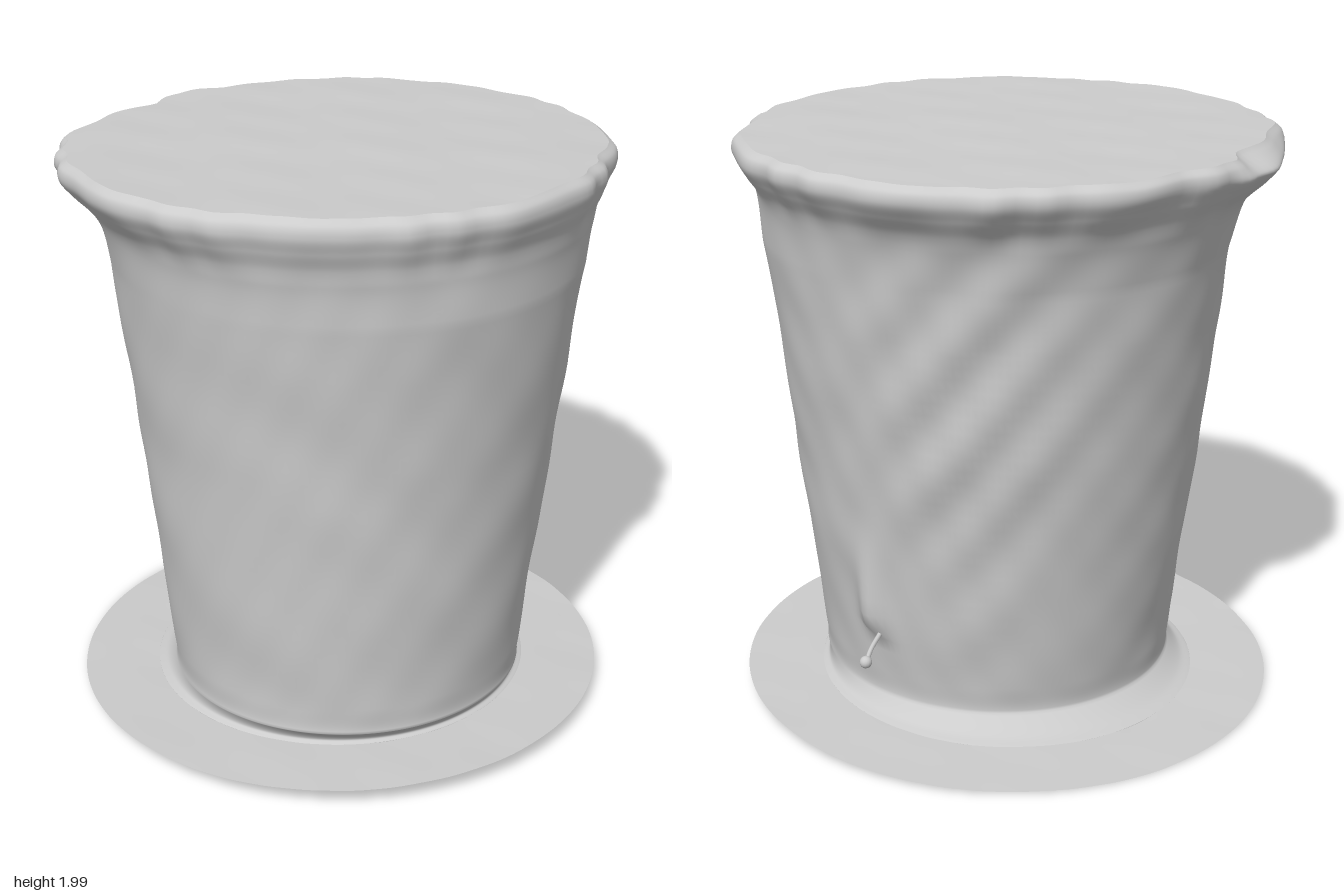
import * as THREE from 'three';
import { mergeVertices } from 'three/addons/utils/BufferGeometryUtils.js';

const TOP = 1.968;
const SEGMENTS = 180;
const { lerp, smoothstep, degToRad } = THREE.MathUtils;
const material = new THREE.MeshStandardMaterial({ color: 0xcccccc, side: THREE.DoubleSide });

// Rim radius by angle in degrees, from +x towards +z
const RIM = [[0, .9], [33, .905], [41, .868], [90, .87], [134, .862], [180, .91], [215, .925],
  [245, .92], [262, .89], [272, .865], [304, .885], [340, .9], [360, .9]];
// Height, sideways drift and forward drift of the body's axis
const DRIFT = [[0, 0, 0], [.06, -.02, .075], [1, 0, .045], [1.6, .005, .04], [1.92, 0, .005], [2, 0, 0]];

function lookup(table, t, column = 1) {
  const i = Math.max(1, table.findIndex((row) => row[0] >= t));
  const a = table[i - 1], b = table[i];
  return lerp(a[column], b[column], (t - a[0]) / (b[0] - a[0]));
}

const gauss = (d, width) => Math.exp(-(d * d) / (width * width));

// Smooth, repeatable unevenness, roughly -1..1
function lumps(x, y, z) {
  return .4 * Math.sin(5.1 * x + 3.3 * y + 1.7) * Math.cos(4.3 * z - 2.9 * y)
    + .35 * Math.sin(11.3 * y + 7.1 * z) * Math.cos(9.7 * x - 3.1 * z)
    + .25 * Math.sin(21 * x + 13 * z) * Math.cos(19 * y - 17 * z + 1.1);
}

// Sagging folds, a pulled drip and a torn rim, all as changes of radius
function bodyRadius(r, x, y, z) {
  const angle = Math.atan2(z, x);
  const deg = (angle * 180 / Math.PI + 360) % 360;
  const rim = smoothstep(y, 1.74, 1.92);
  let out = r * lerp(1, lookup(RIM, deg) / .9, rim);
  const tear = gauss(deg - 246, 9) + .45 * gauss(deg - 229, 8);
  out *= 1 - .085 * tear * smoothstep(y, 1.9, 1.96);
  const folds = gauss(angle + .7, .45) * gauss(y - 1.2, .6);
  out += folds * .012 * Math.sin(17 * (y + .9 * angle));
  const drip = gauss(angle + .16, .09) * smoothstep(y, .28, .36) * (1 - smoothstep(y, .36, .75));
  out += .05 * drip;
  out += .008 * lumps(x, y, z) * smoothstep(y, .02, .2);
  out += .007 * rim * Math.sin(angle * 23 + 2 * Math.sin(angle * 7));
  return out;
}

// Lathes a profile, then moves each vertex by the rules above
function sculpt(name, points, isBrim) {
  const geometry = new THREE.LatheGeometry(points.map(([r, y]) => new THREE.Vector2(r, y)), SEGMENTS);
  const position = geometry.attributes.position;
  for (let i = 0; i < position.count; i++) {
    let x = position.getX(i), y = position.getY(i), z = position.getZ(i);
    const r = Math.hypot(x, z);
    if (!isBrim && r > 1e-5) {
      // The crown scales with its edge so that the two surfaces meet
      const edge = y > TOP - .002 ? .87 : r;
      const k = bodyRadius(edge, x * edge / r, y, z * edge / r) / edge;
      x *= k;
      z *= k;
    }
    x += lookup(DRIFT, y, 1);
    z += lookup(DRIFT, y, 2);
    const t = y / TOP;
    const tilt = lerp(.042 + .037 * z - .007 * x, .023 * z - .013 * x, t);
    const bump = isBrim ? .003 : .005 * smoothstep(y, 1.8, TOP);
    position.setXYZ(i, x, y + tilt + bump * lumps(x * 1.3, 0, z * 1.3), z);
  }
  geometry.deleteAttribute('uv');
  geometry.deleteAttribute('normal');
  const welded = mergeVertices(geometry, 1e-5);
  welded.computeVertexNormals();
  const mesh = new THREE.Mesh(welded, material);
  mesh.name = name;
  return mesh;
}

export function createModel() {
  const group = new THREE.Group();
  group.name = 'topHat';

  // Flat round brim, open in the middle
  const brim = [];
  for (let i = 0; i <= 14; i++) brim.push([lerp(.93, .665, i / 14), 0]);
  group.add(sculpt('brim', brim, true));

  // Tapered hollow body with a flared lip
  const curve = new THREE.CatmullRomCurve3([
    [.665, 0], [.635, .015], [.617, .06], [.624, .16], [.672, .6], [.716, 1], [.76, 1.4],
    [.785, 1.6], [.808, 1.74], [.83, 1.8], [.872, 1.86], [.9, 1.91], [.896, 1.945], [.87, TOP],
  ].map(([r, y]) => new THREE.Vector3(r, y, 0)), false, 'centripetal');
  const wall = curve.getPoints(117).map((p) => [p.x, Math.min(Math.max(p.y, 0), TOP)]);
  group.add(sculpt('body', wall, false));

  // Closed crown
  const crown = [];
  for (let i = 0; i <= 40; i++) crown.push([.87 * (1 - i / 40), TOP]);
  group.add(sculpt('crown', crown, false));

  // Small bead hanging off the drip
  const stemPath = new THREE.CatmullRomCurve3([
    new THREE.Vector3(.64, .35, -.08), new THREE.Vector3(.68, .305, -.08), new THREE.Vector3(.715, .28, -.1),
  ]);
  const stem = new THREE.Mesh(new THREE.TubeGeometry(stemPath, 10, .008, 8), material);
  stem.name = 'dripStem';
  const bead = new THREE.Mesh(new THREE.SphereGeometry(.021, 14, 10), material);
  bead.name = 'dripBead';
  bead.position.set(.718, .278, -.1);
  bead.rotation.z = degToRad(20);
  group.add(stem, bead);

  return group;
}
